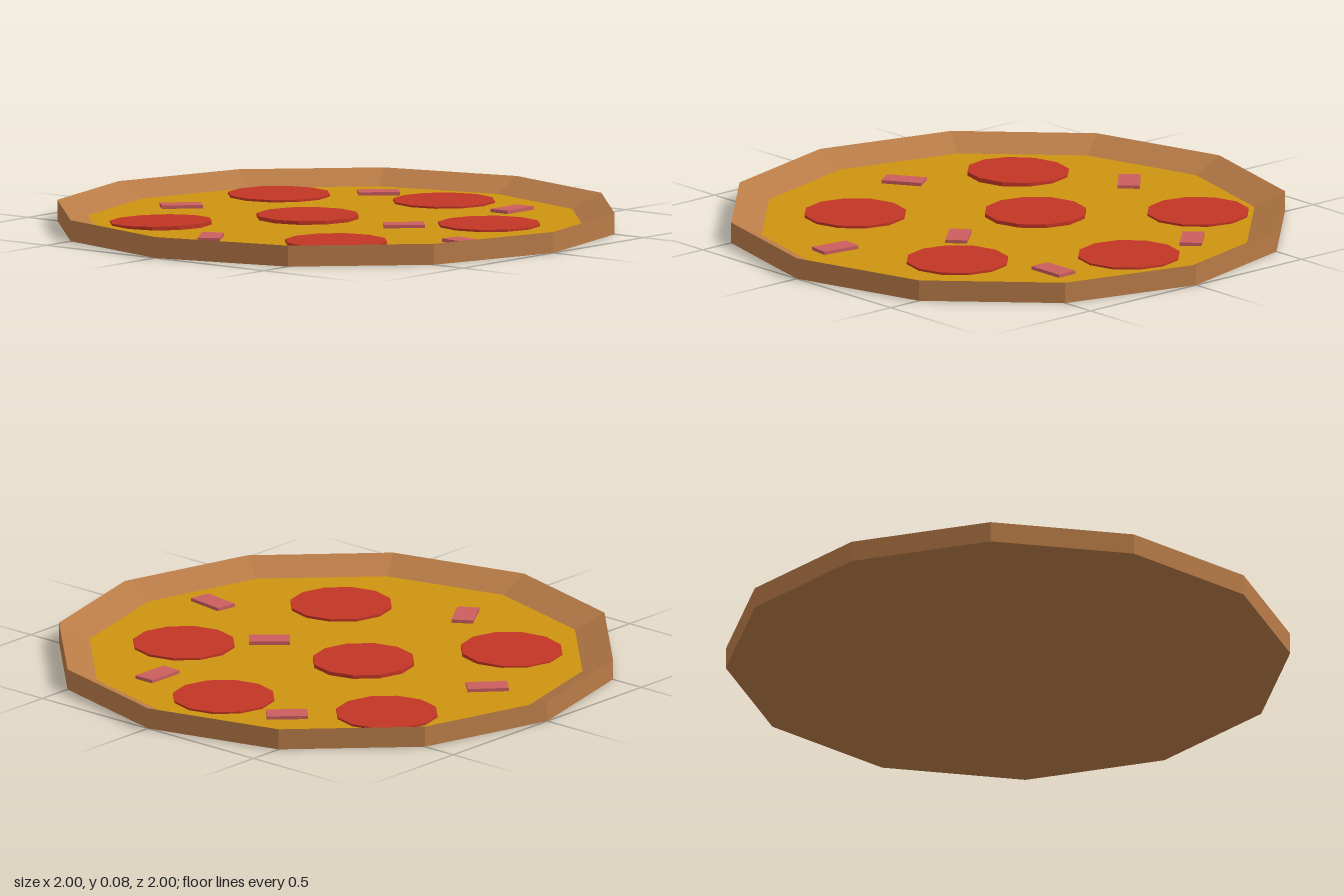
import * as THREE from 'three';

const SIDES = 12;
const material = (name, color) => {
  const m = new THREE.MeshStandardMaterial({ color });
  m.name = name;
  return m;
};

// Faceted copy of a geometry: every face gets its own normal
const faceted = (geometry) => {
  const g = geometry.toNonIndexed();
  g.computeVertexNormals();
  return g;
};

export function createModel() {
  const pizza = new THREE.Group();
  pizza.name = 'pizza';
  const crustBrown = material('crustBrown', 0xb87b47);
  const cheeseYellow = material('cheeseYellow', 0xcc940f);
  const pepperoniRed = material('pepperoniRed', 0xc23524);
  const hamPink = material('hamPink', 0xcb5d5f);

  const add = (name, geometry, mat, x = 0, y = 0, z = 0) => {
    const mesh = new THREE.Mesh(geometry, mat);
    mesh.name = name;
    mesh.position.set(x, y, z);
    pizza.add(mesh);
    return mesh;
  };

  // Crust: upright outer wall and a rim sloping down to the cheese
  const profile = [[1, 0], [1, 0.075], [0.89, 0.023]].map(([r, y]) => new THREE.Vector2(r, y));
  add('crustRim', faceted(new THREE.LatheGeometry(profile, SIDES)), crustBrown);
  add('crustBase', new THREE.CircleGeometry(1, SIDES).rotateX(Math.PI / 2), crustBrown);

  // Cheese filling
  add('cheese', new THREE.CircleGeometry(0.89, SIDES).rotateX(-Math.PI / 2), cheeseYellow, 0, 0.023, 0);

  // Pepperoni slices: x, z, height of the centre, slight tilt
  const slice = faceted(new THREE.CylinderGeometry(0.183, 0.183, 0.016, SIDES));
  [
    [-0.44, -0.44, 0.025, -0.03],
    [0.37, -0.57, 0.023, 0],
    [0, -0.13, 0.028, 0],
    [0.62, -0.02, 0.022, 0],
    [-0.42, 0.35, 0.024, 0],
    [0.27, 0.48, 0.023, 0],
  ].forEach(([x, z, y, tilt], i) => {
    add(`pepperoni${i + 1}`, slice, pepperoniRed, x, y, z).rotation.x = tilt;
  });

  // Ham pieces: x, z, turn in degrees
  const piece = new THREE.BoxGeometry(0.146, 0.02, 0.078);
  [
    [-0.08, -0.645, -43],
    [0.62, -0.32, -46],
    [-0.62, -0.06, 33],
    [0.045, 0.275, -48],
    [0.595, 0.315, 0],
    [-0.132, 0.7, -98],
  ].forEach(([x, z, turn], i) => {
    add(`ham${i + 1}`, piece, hamPink, x, 0.025, z).rotation.y = THREE.MathUtils.degToRad(turn);
  });

  return pizza;
}
